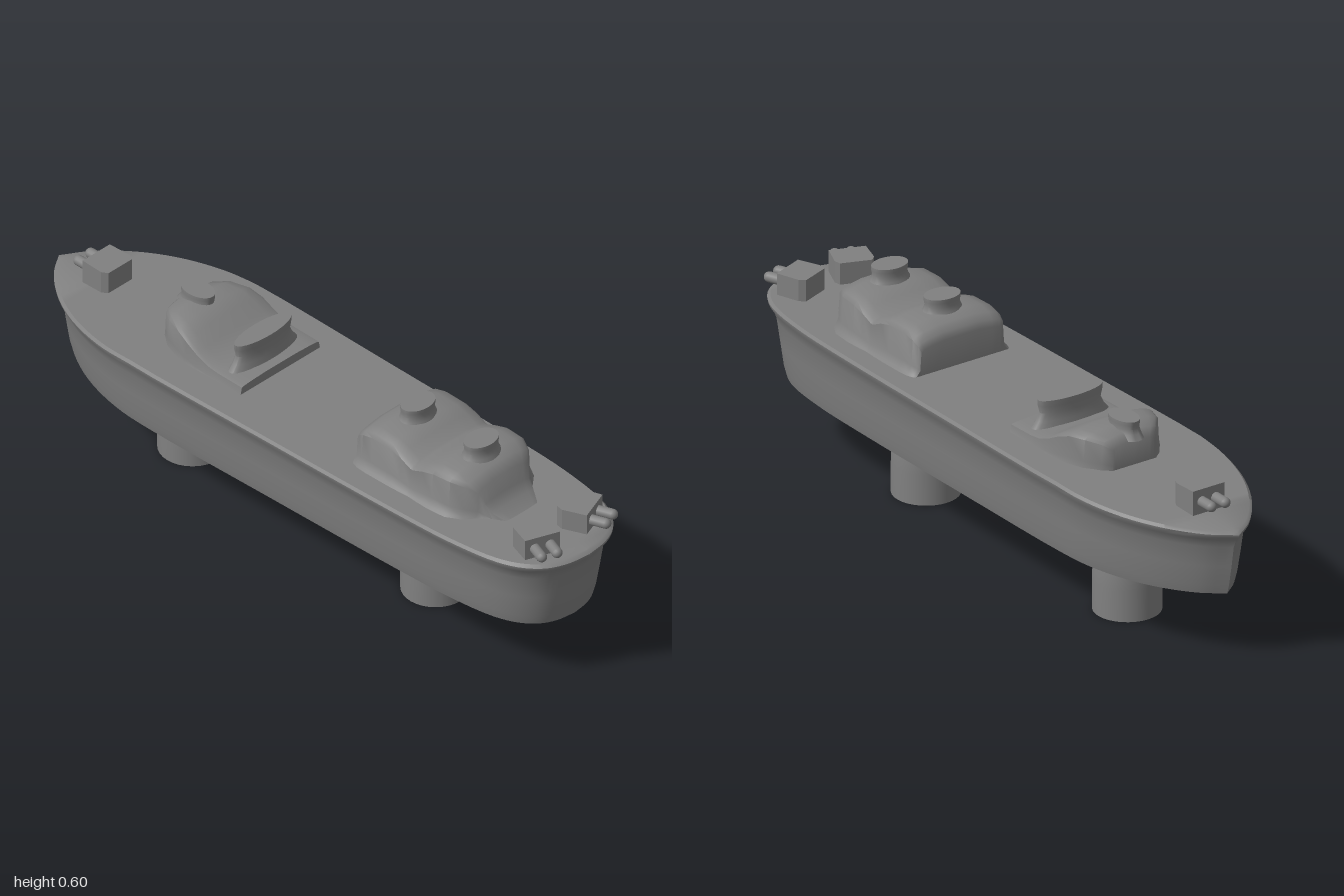
import * as THREE from 'three';
import { toCreasedNormals } from 'three/addons/utils/BufferGeometryUtils.js';

const hullGrey = new THREE.MeshStandardMaterial({ color: 0x808080 });
hullGrey.name = 'hull grey';

function add(parent, name, geometry, x = 0, y = 0, z = 0) {
  const mesh = new THREE.Mesh(geometry, hullGrey);
  mesh.name = name;
  mesh.position.set(x, y, z);
  parent.add(mesh);
  return mesh;
}

// Skin over rows of [x, y, z] points, all rows equally long
function loft(rows, crease = 0.7) {
  const n = rows[0].length;
  const index = [];
  for (let i = 0; i < rows.length - 1; i++) {
    for (let j = 0; j < n - 1; j++) {
      const a = i * n + j, b = a + 1, c = a + n, d = c + 1;
      index.push(a, b, d, a, d, c);
    }
  }
  const g = new THREE.BufferGeometry();
  g.setAttribute('position', new THREE.Float32BufferAttribute(rows.flat(2), 3));
  g.setIndex(index);
  return toCreasedNormals(g, crease);
}

// Hull: one waterline outline scaled at each level; the deck dips at the bow
function hullGeometry() {
  const half = [
    [1, 0], [0.99, 0.07], [0.965, 0.125], [0.92, 0.168], [0.85, 0.2], [0.7, 0.224], [0.5, 0.234],
    [0, 0.243], [-0.5, 0.248], [-0.62, 0.238], [-0.75, 0.202], [-0.86, 0.145], [-0.95, 0.07], [-1, 0],
  ];
  const curve = new THREE.CatmullRomCurve3(half.map(([x, w]) => new THREE.Vector3(x, 0, -w)), false, 'centripetal');
  const side = curve.getPoints(52);
  const ring = [...side, ...side.slice(0, -1).reverse().map(p => new THREE.Vector3(p.x, 0, -p.z))];
  const levels = [
    [0.2, 0.945, 0], [0.2, 0.945, 0.83], [0.23, 0.953, 0.858], [0.3, 0.965, 0.885], [0.37, 0.975, 0.92],
    [0.4, 0.986, 0.96], [0.413, 0.999, 0.992], [0.422, 1, 1], [0.43, 0.99, 0.975], [0.43, 0.99, 0],
  ];
  return loft(levels.map(([y, sx, sz]) => ring.map(p => {
    const dip = 0.03 * THREE.MathUtils.clamp((-p.x - 0.5) / 0.5, 0, 1) * (y - 0.2) / 0.23;
    return [p.x * sx, y - dip, p.z * sz];
  })));
}

// Deckhouse: stations [x, half width, top y] with a rounded shoulder and a flared foot
function deckhouseGeometry(stations, flare, zc) {
  const base = 0.42;
  const halfSection = [[flare, 0], [1 + (flare - 1) * 0.4, 0.12], [1, 0.26], [0.97, 0.82], [0.9, 0.89], [0.72, 0.94], [0.4, 1], [0, 1]];
  const section = [
    ...halfSection.map(([w, h]) => [-w, h]),
    ...halfSection.slice(0, -1).reverse(),
  ];
  const first = stations[0], last = stations[stations.length - 1];
  const all = [[first[0], first[1], base], ...stations, [last[0], last[1], base]];
  return loft(all.map(([x, w, top]) => section.map(([s, h]) => [x, base + (top - base) * h, zc + s * w])), 0.8);
}

// Oval tower with a spreading foot and flat top
function tower(parent, name, x, z, rx, rz, y0, y1) {
  const h = y1 - y0;
  const pts = [[1.25, 0], [1.05, 0.3], [0.95, 0.55], [1, 0.8], [1, 1], [0, 1]]
    .map(([r, y]) => new THREE.Vector2(r, y * h));
  const g = new THREE.LatheGeometry(pts, 28);
  g.scale(rx, 1, rz);
  add(parent, name, toCreasedNormals(g, 0.7), x, y0, z);
}

// Boxy turret with two barrels pointing along its own +x
function turret(name, x, y, z, turn, height) {
  const g = new THREE.Group();
  g.name = name;
  const shape = new THREE.Shape([
    [-0.048, 0.045], [-0.048, -0.045], [-0.03, -0.055], [0.042, -0.052], [0.042, 0.052], [-0.03, 0.055],
  ].map(([a, b]) => new THREE.Vector2(a, b)));
  const house = new THREE.ExtrudeGeometry(shape, { depth: height, bevelEnabled: false });
  house.rotateX(-Math.PI / 2);
  add(g, 'turretHouse', house);
  for (const s of [-1, 1]) {
    const barrel = new THREE.CapsuleGeometry(0.015, 0.05, 5, 14);
    barrel.rotateZ(Math.PI / 2);
    add(g, 'gunBarrel', barrel, 0.06, height * 0.52, s * 0.023);
  }
  g.position.set(x, y, z);
  g.rotation.y = turn;
  return g;
}

export function createModel() {
  const ship = new THREE.Group();
  ship.name = 'warship';
  add(ship, 'hull', hullGeometry());

  // Mounting pegs under the hull
  const pegProfile = [[0, 0], [0.095, 0], [0.095, 0.09], [0.093, 0.15], [0.088, 0.18], [0.082, 0.205]]
    .map(([r, y]) => new THREE.Vector2(r, y));
  for (const x of [-0.513, 0.403]) {
    add(ship, 'peg', toCreasedNormals(new THREE.LatheGeometry(pegProfile, 32), 0.7), x, 0, -0.017);
  }

  // Forward deckhouse: high bridge sloping down to a low platform
  add(ship, 'forwardDeckhouse', deckhouseGeometry([
    [-0.53, 0.07, 0.5], [-0.51, 0.095, 0.52], [-0.47, 0.125, 0.53], [-0.42, 0.142, 0.527], [-0.38, 0.15, 0.51],
    [-0.34, 0.152, 0.485], [-0.3, 0.152, 0.466], [-0.26, 0.152, 0.46], [-0.17, 0.152, 0.458],
  ], 1.05, -0.005));
  tower(ship, 'bridgeTower', -0.475, 0, 0.055, 0.035, 0.5, 0.552);
  tower(ship, 'forwardFunnel', -0.236, -0.005, 0.032, 0.105, 0.45, 0.535);

  // Aft deckhouse: two humps with a groove between
  add(ship, 'aftDeckhouse', deckhouseGeometry([
    [0.257, 0.14, 0.515], [0.265, 0.145, 0.535], [0.285, 0.149, 0.55], [0.32, 0.15, 0.56], [0.39, 0.15, 0.558],
    [0.43, 0.15, 0.545], [0.465, 0.15, 0.525], [0.475, 0.15, 0.525], [0.51, 0.15, 0.542], [0.55, 0.15, 0.556],
    [0.61, 0.145, 0.558], [0.65, 0.125, 0.548], [0.675, 0.1, 0.525], [0.69, 0.088, 0.48], [0.71, 0.08, 0.452],
    [0.745, 0.06, 0.43],
  ], 1.2, -0.003));
  tower(ship, 'aftFunnel', 0.353, 0, 0.039, 0.055, 0.545, 0.6);
  tower(ship, 'aftFunnel', 0.592, 0, 0.039, 0.055, 0.545, 0.6);

  // Turrets: one at the bow, a splayed pair at the stern
  ship.add(turret('bowTurret', -0.812, 0.405, 0.005, Math.PI, 0.075));
  for (const s of [-1, 1]) {
    ship.add(turret('sternTurret', 0.882, 0.425, s * 0.085, -s * 0.36, 0.068));
  }
  return ship;
}
